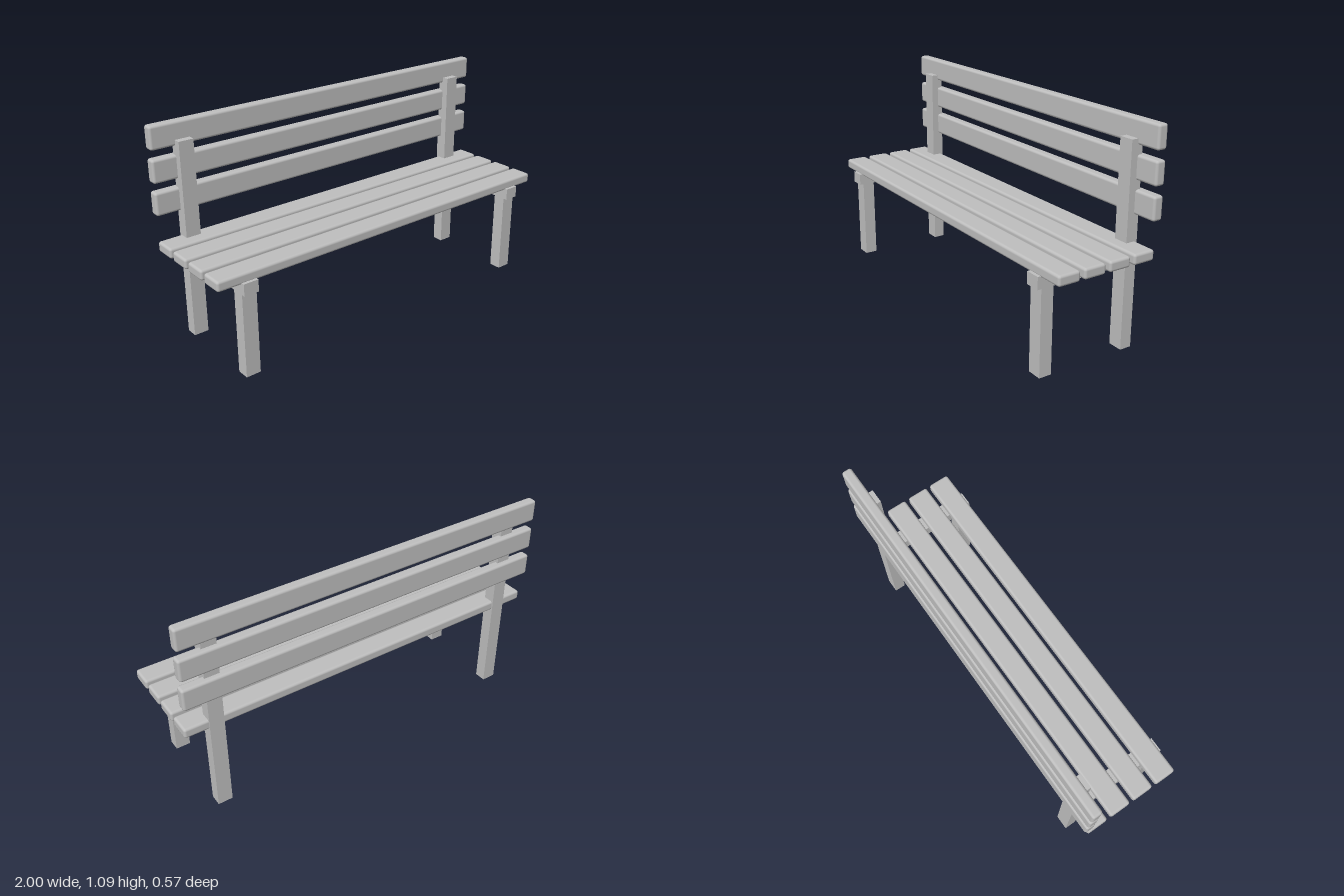
import * as THREE from 'three';
import { RoundedBoxGeometry } from 'three/addons/geometries/RoundedBoxGeometry.js';

export function createModel() {
  const bench = new THREE.Group();
  bench.name = 'bench';
  const grey = new THREE.MeshStandardMaterial({ color: 0xbfbfbf });
  grey.name = 'plain grey';

  const add = (name, geometry, x, y, z) => {
    const mesh = new THREE.Mesh(geometry, grey);
    mesh.name = name;
    mesh.position.set(x, y, z);
    bench.add(mesh);
  };

  // Square-edged bar given by its limits in y and z
  const bar = (name, x, y0, y1, z0, z1) =>
    add(name, new THREE.BoxGeometry(0.075, y1 - y0, z1 - z0), x, (y0 + y1) / 2, (z0 + z1) / 2);

  // Slats with softened edges
  const LENGTH = 2, WIDTH = 0.115, THICK = 0.052, EDGE = 0.013;
  const seatSlat = new RoundedBoxGeometry(LENGTH, THICK, WIDTH, 2, EDGE);
  const backSlat = new RoundedBoxGeometry(LENGTH, WIDTH, THICK, 2, EDGE);

  // Four seat slats, front to back
  for (let i = 0; i < 4; i++) add('seatSlat' + (i + 1), seatSlat, 0, 0.501, 0.213 - i * 0.1365);

  // Three backrest slats, bottom to top
  for (let i = 0; i < 3; i++) add('backSlat' + (i + 1), backSlat, 0, 0.712 + i * 0.158, -0.26);

  // Mirrored side frames: front leg, rear post, seat rail
  for (const [side, s] of [['left', 1], ['right', -1]]) {
    const x = s * 0.842;
    bar(side + 'FrontLeg', x, 0, 0.424, 0.202, 0.266);
    bar(side + 'RearPost', x, 0, 1, -0.26, -0.199);
    bar(side + 'SeatRail', x, 0.424, 0.484, -0.199, 0.286);
  }
  return bench;
}
